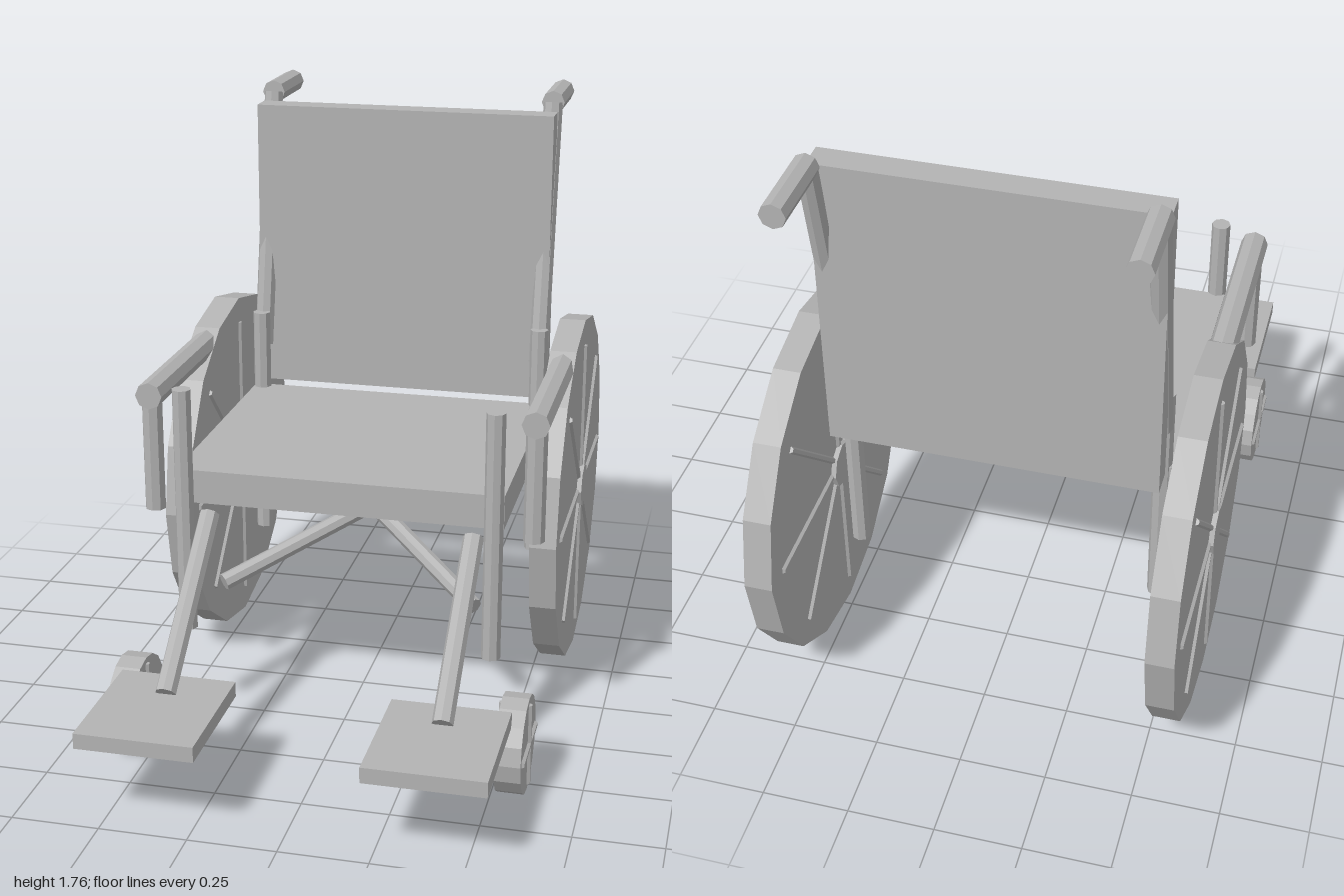
import * as THREE from 'three';

const grey = new THREE.MeshStandardMaterial({ color: 0xb3b3b3, flatShading: true });
grey.name = 'grey';

const UP = new THREE.Vector3(0, 1, 0);

export function createModel() {
  const model = new THREE.Group();
  model.name = 'wheelchair';

  function add(parent, name, geometry, x, y, z) {
    const mesh = new THREE.Mesh(geometry, grey);
    mesh.name = name;
    mesh.position.set(x, y, z);
    parent.add(mesh);
    return mesh;
  }

  // Box given by its centre and size
  function box(name, [x, y, z], [w, h, d]) {
    return add(model, name, new THREE.BoxGeometry(w, h, d), x, y, z);
  }

  // Straight rod between two points
  function rod(name, from, to, radius, parent = model, sides = 8) {
    const a = new THREE.Vector3(...from);
    const b = new THREE.Vector3(...to);
    const dir = b.clone().sub(a);
    const mid = a.clone().add(b).multiplyScalar(0.5);
    const mesh = add(parent, name, new THREE.CylinderGeometry(radius, radius, dir.length(), sides), mid.x, mid.y, mid.z);
    mesh.quaternion.setFromUnitVectors(UP, dir.normalize());
    return mesh;
  }

  // Solid disc wheel with raised spokes on both faces
  function wheel(name, x, z, radius, width, bars, reach, hubRadius) {
    const group = new THREE.Group();
    group.name = name;
    group.position.set(x, radius, z);
    model.add(group);
    const disc = new THREE.CylinderGeometry(radius, radius, width, 16).rotateZ(Math.PI / 2);
    add(group, 'disc', disc, 0, 0, 0);
    for (const face of [-1, 1]) {
      for (let i = 0; i < bars; i++) {
        const t = (i * Math.PI) / bars;
        const y = Math.cos(t) * reach;
        const dz = Math.sin(t) * reach;
        rod('spoke', [face * width / 2, -y, -dz], [face * width / 2, y, dz], 0.01, group, 6);
      }
    }
    if (hubRadius) {
      const hub = new THREE.CylinderGeometry(hubRadius, hubRadius, width + 0.03, 8).rotateZ(Math.PI / 2);
      add(group, 'hub', hub, 0, 0, 0);
    }
  }

  // Seat and backrest
  box('seat', [0, 0.74, -0.092], [0.96, 0.1, 0.825]);
  box('backrest', [0, 1.25, -0.58], [0.94, 0.905, 0.08]);

  for (const s of [1, -1]) {
    const side = s > 0 ? 'left' : 'right';

    // Wheels
    wheel(side + 'RearWheel', s * 0.56, -0.455, 0.545, 0.08, 4, 0.465, 0.07);
    wheel(side + 'Caster', s * 0.557, 0.525, 0.14, 0.075, 2, 0.122, 0);

    // Upright frame posts
    rod(side + 'FrontPost', [s * 0.453, 0.3, 0.335], [s * 0.453, 1.04, 0.335], 0.028);
    rod(side + 'RearPost', [s * 0.453, 0.3, -0.488], [s * 0.453, 1.04, -0.488], 0.028);

    // Back cane and push handle
    rod(side + 'BackCane', [s * 0.45, 0.93, -0.5], [s * 0.45, 1.725, -0.662], 0.03);
    rod(side + 'PushHandle', [s * 0.45, 1.725, -0.66], [s * 0.45, 1.725, -0.895], 0.036);

    // Armrest and its support
    rod(side + 'Armrest', [s * 0.56, 1.003, 0.315], [s * 0.56, 1.003, -0.46], 0.04);
    rod(side + 'ArmrestPost', [s * 0.56, 0.65, 0.284], [s * 0.56, 1.0, 0.284], 0.031);

    // Folding cross brace
    rod(side + 'CrossBrace', [s * 0.38, 0.395, 0.21], [s * -0.38, 0.705, -0.48], 0.026);

    // Leg rest and footplate
    rod(side + 'LegRest', [s * 0.39, 0.65, 0.3], [s * 0.39, 0.285, 0.732], 0.03);
    box(side + 'Footplate', [s * 0.392, 0.258, 0.807], [0.335, 0.045, 0.386]);
  }

  return model;
}
